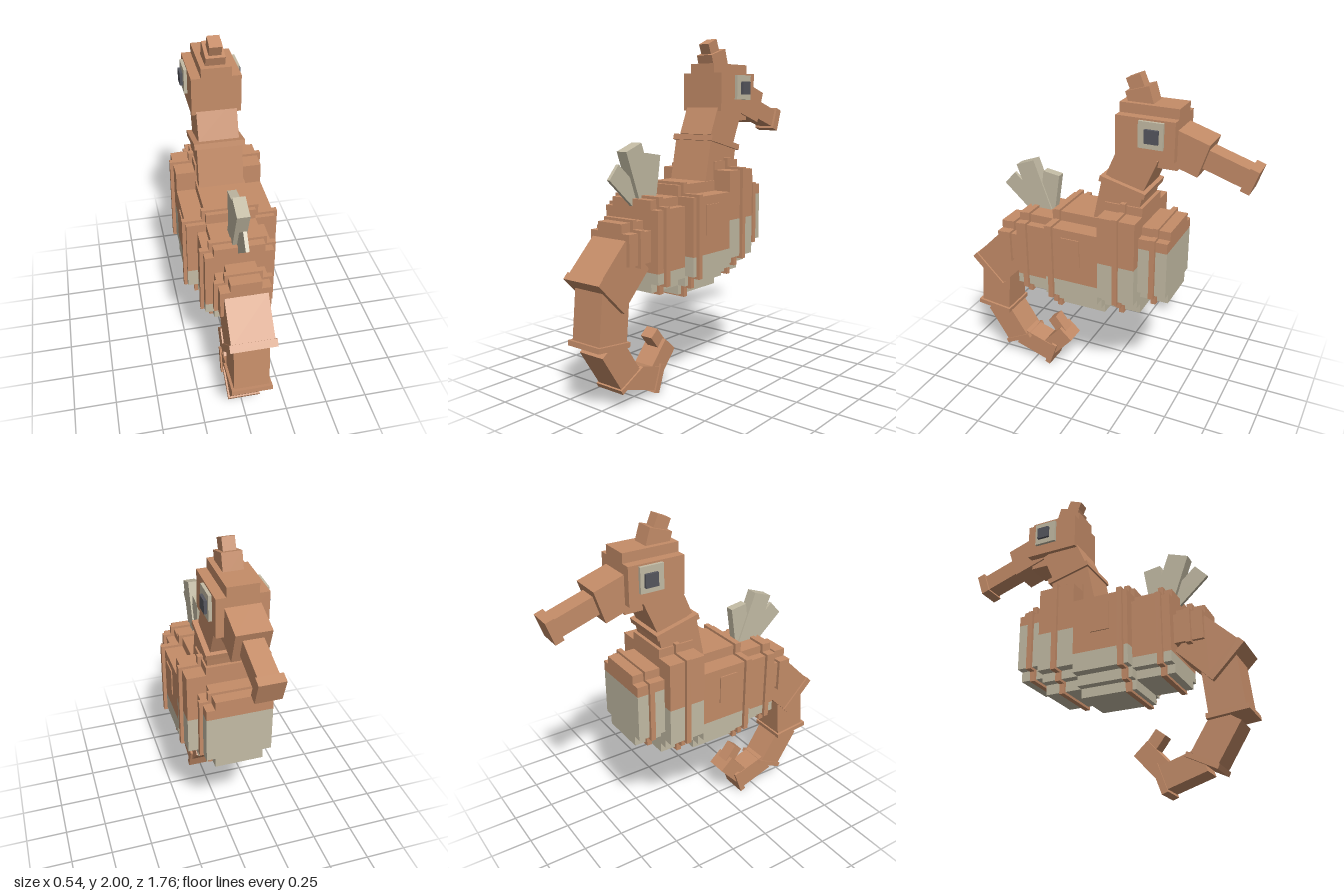
import * as THREE from 'three';

const mat = (name, color) => {
  const m = new THREE.MeshStandardMaterial({ color });
  m.name = name;
  return m;
};

export function createModel() {
  const root = new THREE.Group();
  root.name = 'seahorse';
  const skin = mat('terracotta skin', 0xc48c68);
  const pale = mat('pale belly', 0xc3bba4);
  const dark = mat('dark pupil', 0x55565e);

  const add = (name, geo, material) => {
    const m = new THREE.Mesh(geo, material);
    m.name = name;
    root.add(m);
    return m;
  };

  // Upright box from its limits
  const block = (name, x0, x1, y0, y1, z0, z1, material = skin) =>
    add(name, new THREE.BoxGeometry(x1 - x0, y1 - y0, z1 - z0), material)
      .position.set((x0 + x1) / 2, (y0 + y1) / 2, (z0 + z1) / 2);

  // Tilted box running between two [z, y] points in the middle plane
  const bar = (name, [z0, y0], [z1, y1], thick, half, material = skin) => {
    const m = add(name, new THREE.BoxGeometry(half * 2, Math.hypot(z1 - z0, y1 - y0), thick), material);
    m.position.set(0, (y0 + y1) / 2, (z0 + z1) / 2);
    m.rotation.x = Math.atan2(z1 - z0, y1 - y0);
  };

  // Stepped cross-section, steps = [halfWidth, bottom, top] from widest to narrowest, kept between lo and hi
  const stepped = (name, steps, z0, z1, material = skin, lo = -9, hi = 9) => {
    const slabs = [steps[0]];
    for (let i = 1; i < steps.length; i++) {
      const [h, b, t] = steps[i], [, pb, pt] = steps[i - 1];
      slabs.unshift([h, b, pb]);
      slabs.push([h, pt, t]);
    }
    const pts = [];
    for (const [h, b, t] of slabs) {
      const y0 = Math.max(b, lo), y1 = Math.min(t, hi);
      if (y1 - y0 > 1e-4) pts.push([h, y0], [h, y1]);
    }
    const outline = [...pts, ...pts.slice().reverse().map(([x, y]) => [-x, y])];
    const shape = new THREE.Shape(outline.map(([x, y]) => new THREE.Vector2(x, y)));
    const geo = new THREE.ExtrudeGeometry(shape, { depth: z1 - z0, bevelEnabled: false });
    add(name, geo, material).position.z = z0;
  };

  // Trunk segments, each with a pale lower part and a raised ring
  const trunk = [
    { name: 'chest', z: [-0.45, -0.28], ring: [-0.383, -0.353], belly: 1.07,
      steps: [[0.19, 0.79, 1.13], [0.14, 0.73, 1.18]] },
    { name: 'shoulder', z: [-0.28, -0.055], ring: [-0.185, -0.155], belly: 0.955,
      steps: [[0.25, 0.73, 1.24], [0.19, 0.68, 1.24], [0.14, 0.62, 1.29]] },
    { name: 'middle', z: [-0.055, 0.28], ring: [0.225, 0.255], belly: 0.79,
      steps: [[0.25, 0.68, 1.12], [0.19, 0.62, 1.12], [0.14, 0.565, 1.18]] },
    { name: 'hip', z: [0.28, 0.505], ring: [0.43, 0.46], belly: 0.73,
      steps: [[0.19, 0.67, 1.07], [0.14, 0.62, 1.12]] },
    { name: 'rump', z: [0.505, 0.67], ring: [0.575, 0.605], belly: 0,
      steps: [[0.14, 0.79, 0.96], [0.085, 0.79, 1.01]] },
  ];
  for (const { name, z, ring, belly, steps } of trunk) {
    stepped(name + 'Back', steps, z[0], z[1], skin, belly);
    if (belly) stepped(name + 'Belly', steps, z[0], z[1], pale, -9, belly);
    stepped(name + 'Ring', steps.map(([h, b, t]) => [h + 0.02, b - 0.015, t + 0.015]), ring[0], ring[1]);
  }

  // Neck
  bar('lowerNeck', [-0.1, 1.14], [-0.153, 1.39], 0.25, 0.13);
  bar('neckCollar', [-0.153, 1.379], [-0.161, 1.411], 0.277, 0.145);
  bar('upperNeck', [-0.155, 1.4], [-0.245, 1.61], 0.23, 0.115);

  // Head, chin and crown
  stepped('head', [[0.14, 1.58, 1.8], [0.085, 1.58, 1.855]], -0.45, -0.115);
  block('chin', -0.085, 0.085, 1.52, 1.59, -0.45, -0.34);
  bar('crownBase', [-0.243, 1.79], [-0.2, 1.925], 0.14, 0.055);
  bar('crownTip', [-0.21, 1.884], [-0.167, 1.984], 0.085, 0.035);

  // Snout
  bar('snoutBase', [-0.356, 1.674], [-0.594, 1.597], 0.193, 0.095);
  bar('snout', [-0.55, 1.611], [-0.82, 1.523], 0.11, 0.055);
  bar('snoutTip', [-0.811, 1.526], [-0.861, 1.509], 0.138, 0.07);

  // Eyes and small side fins, mirrored
  for (const s of [-1, 1]) {
    const side = s > 0 ? 'left' : 'right';
    const plate = (name, a, b, ...rest) => block(side + name, Math.min(s * a, s * b), Math.max(s * a, s * b), ...rest);
    plate('Eye', 0.13, 0.158, 1.645, 1.79, -0.39, -0.25, pale);
    plate('Pupil', 0.15, 0.174, 1.677, 1.752, -0.367, -0.29, dark);
    plate('SideFin', 0.24, 0.257, 0.9, 1.07, 0.055, 0.17);
  }

  // Back fin
  bar('backFinRear', [0.45, 1.1], [0.64, 1.27], 0.105, 0.01, pale);
  bar('backFinMiddle', [0.4, 1.085], [0.515, 1.395], 0.125, 0.035, pale);
  bar('backFinFront', [0.385, 1.09], [0.345, 1.35], 0.105, 0.025, pale);

  // Curled tail: segments joined by rings
  const tail = [
    ['tailSegment', [0.588, 0.84], [0.77, 0.658], 0.25, 0.12],
    ['tailRing', [0.76, 0.67], [0.79, 0.64], 0.257, 0.13],
    ['tailSegment', [0.727, 0.68], [0.756, 0.38], 0.2, 0.1],
    ['tailRing', [0.758, 0.393], [0.761, 0.365], 0.23, 0.115],
    ['tailSegment', [0.753, 0.374], [0.612, 0.155], 0.16, 0.085],
    ['tailRing', [0.611, 0.162], [0.599, 0.138], 0.19, 0.095],
    ['tailSegment', [0.605, 0.16], [0.375, 0.086], 0.13, 0.07],
    ['tailRing', [0.386, 0.091], [0.352, 0.079], 0.163, 0.08],
    ['tailSegment', [0.387, 0.122], [0.263, 0.26], 0.108, 0.065],
    ['tailTip', [0.297, 0.25], [0.37, 0.342], 0.068, 0.04],
  ];
  tail.forEach(([name, ...rest], i) => bar(name + (i + 1), ...rest));

  return root;
}
